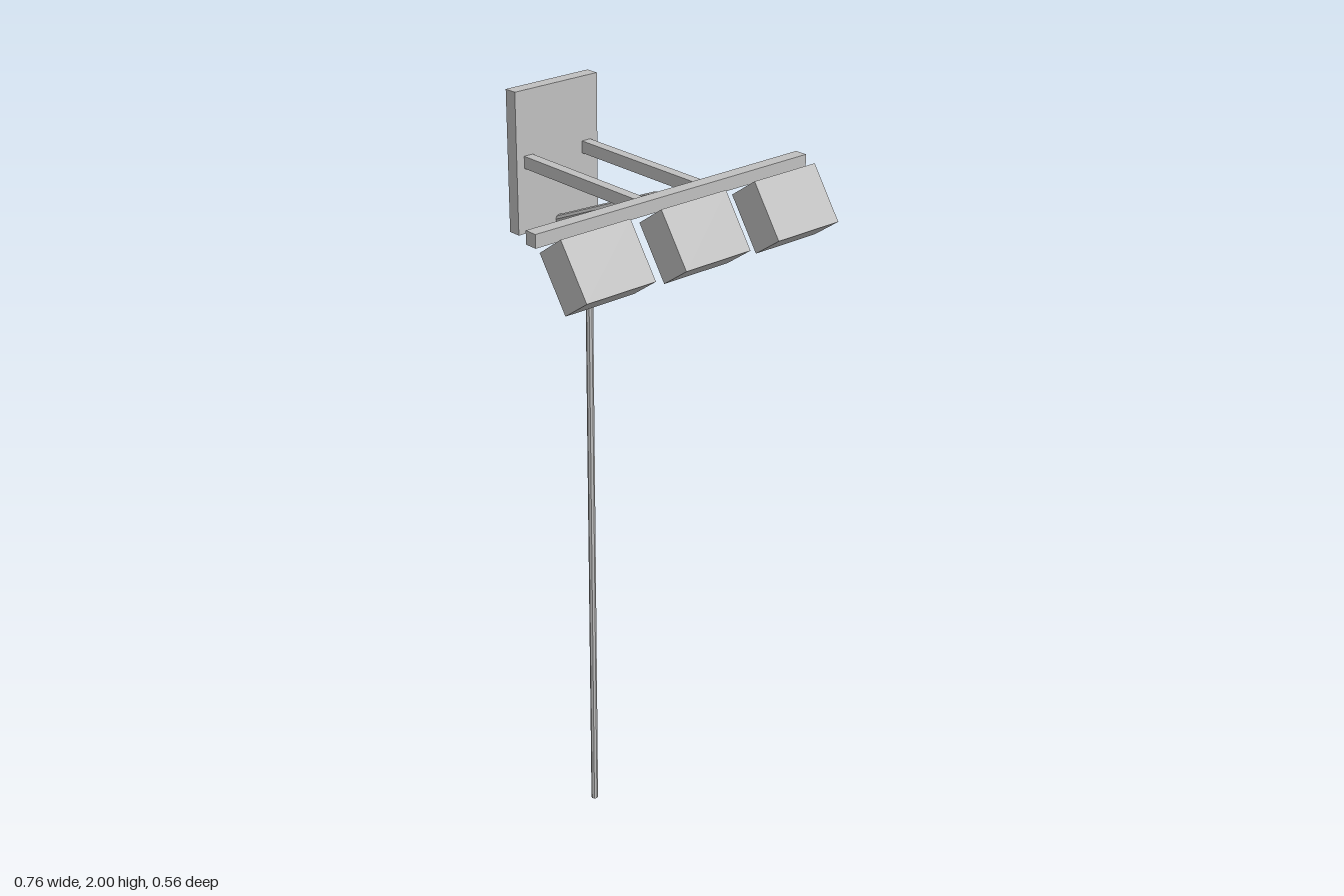
import * as THREE from 'three';

export function createModel() {
  const model = new THREE.Group();
  model.name = 'floodlightMast';
  const steel = new THREE.MeshStandardMaterial({ color: 0xbfbfbf, flatShading: true });
  steel.name = 'grey steel';

  const box = (name, w, h, d, x, y, z) => {
    const mesh = new THREE.Mesh(new THREE.BoxGeometry(w, h, d), steel);
    mesh.name = name;
    mesh.position.set(x, y, z);
    model.add(mesh);
    return mesh;
  };

  // Round bar between two points
  const rod = (name, from, to, radius) => {
    const axis = to.clone().sub(from);
    const mesh = new THREE.Mesh(new THREE.CylinderGeometry(radius, radius, axis.length(), 8), steel);
    mesh.name = name;
    mesh.position.copy(from).add(to).multiplyScalar(0.5);
    mesh.quaternion.setFromUnitVectors(new THREE.Vector3(0, 1, 0), axis.normalize());
    model.add(mesh);
  };

  // Mounting plate and the thin pole running down from it
  box('mountingPlate', 0.232, 0.328, 0.032, 0, 1.836, -0.265);
  rod('pole', new THREE.Vector3(0.1, 0, -0.264), new THREE.Vector3(0.1, 1.68, -0.264), 0.009);

  // Two arms carry the crossbar
  for (const side of [-1, 1]) {
    box(side > 0 ? 'leftArm' : 'rightArm', 0.024, 0.028, 0.372, side * 0.083, 1.838, -0.064);
  }
  box('crossbar', 0.765, 0.03, 0.031, 0, 1.838, 0.136);

  // Diagonal brace below the arms
  rod('brace', new THREE.Vector3(0, 1.684, -0.252), new THREE.Vector3(0, 1.828, 0.083), 0.009);

  // Three lamp housings, tilted back
  for (const i of [-1, 0, 1]) {
    const lamp = box('lamp', 0.183, 0.138, 0.083, i * 0.267, 1.77, 0.207);
    lamp.rotation.x = -THREE.MathUtils.degToRad(35);
  }

  return model;
}
